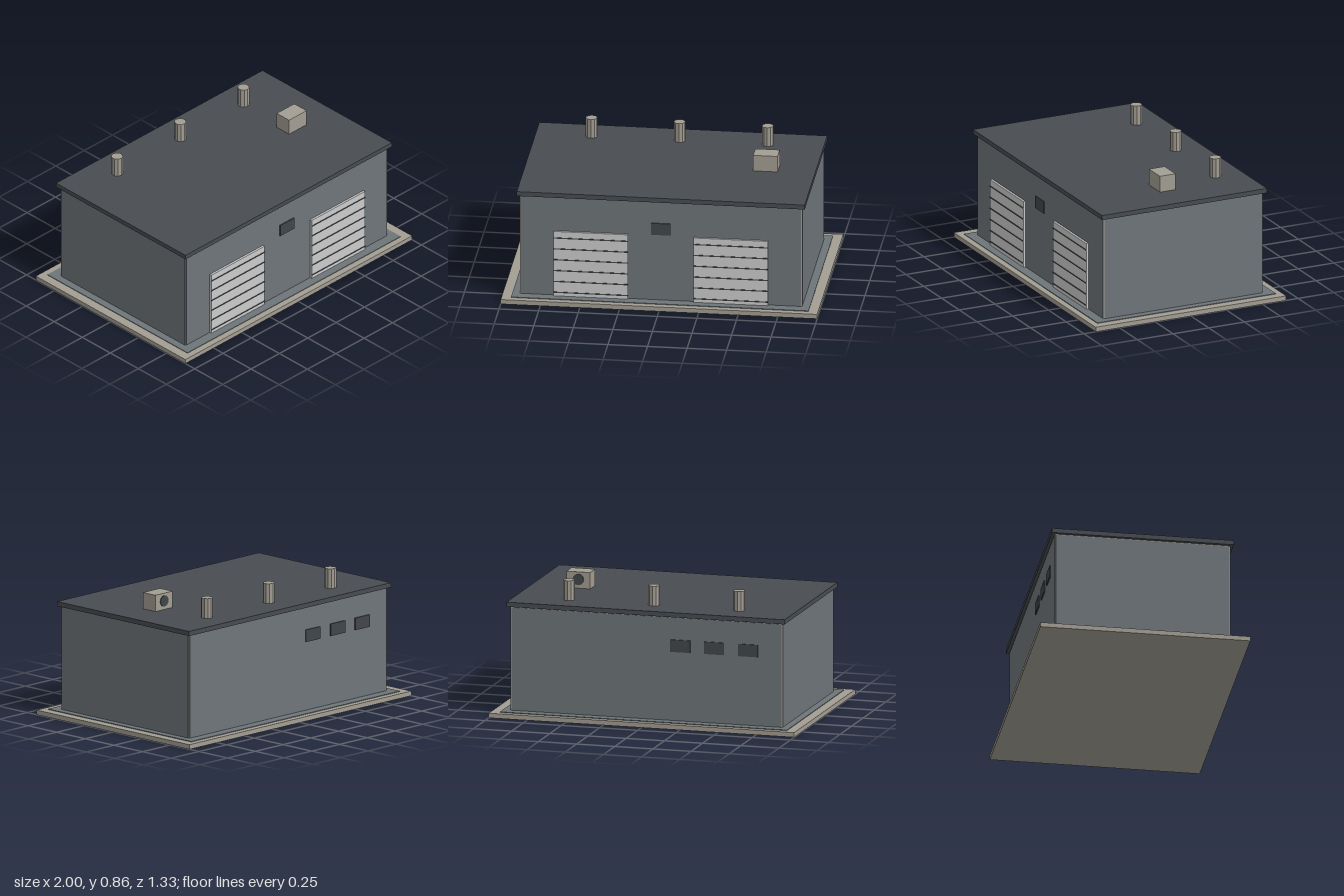
import * as THREE from 'three';

const mat = (name, color) => new THREE.MeshStandardMaterial({ name, color });

export function createModel() {
  const group = new THREE.Group();
  const concrete = mat('concrete', 0xa39e93);
  const cladding = mat('cladding', 0x6e7579);
  const roofing = mat('roofing', 0x484c51);
  const doorPaint = mat('doorPaint', 0xcbcbcb);
  const dark = mat('darkGlass', 0x43474a);

  const add = (name, geometry, material, x, y, z) => {
    const mesh = new THREE.Mesh(geometry, material);
    mesh.name = name;
    mesh.position.set(x, y, z);
    group.add(mesh);
    return mesh;
  };
  // Box given by its centre in x and z and its bottom height
  const box = (name, material, w, h, d, x, y, z) =>
    add(name, new THREE.BoxGeometry(w, h, d), material, x, y + h / 2, z);

  // Ground slab and apron
  box('baseSlab', concrete, 2, 0.03, 1.334, 0, 0, 0);
  box('apron', cladding, 1.88, 0.005, 1.25, 0, 0.029, 0);

  // Body core with cladding panels, leaving a fine pale edge at corners
  box('bodyCore', concrete, 1.778, 0.668, 1.112, 0, 0.032, 0);
  for (const s of [-1, 1]) {
    box('longWallPanel', cladding, 1.768, 0.66, 0.003, 0, 0.034, s * 0.557);
    box('endWallPanel', cladding, 0.003, 0.66, 1.102, s * 0.89, 0.034, 0);
  }

  // Flat overhanging roof
  box('roof', roofing, 1.82, 0.03, 1.155, 0, 0.7, 0);

  // Sectional doors with dark joints
  for (const s of [-1, 1]) {
    const x = s * 0.443;
    box('garageDoor', doorPaint, 0.47, 0.436, 0.016, x, 0.034, 0.565);
    for (let i = 0; i < 6; i++) {
      box('doorJoint', dark, 0.47, 0.007, 0.005, x, 0.055 + i * 0.0735, 0.5735);
    }
  }

  // Small high windows
  box('frontWindow', dark, 0.125, 0.078, 0.008, 0, 0.475, 0.562);
  for (let i = 1; i <= 3; i++) {
    box('rearWindow', dark, 0.13, 0.078, 0.008, -0.222 * i, 0.475, -0.562);
  }

  // Roof vent pipes
  for (const x of [-0.557, 0, 0.557]) {
    const pipe = new THREE.CylinderGeometry(0.037, 0.037, 0.13, 10).toNonIndexed();
    pipe.computeVertexNormals();
    add('ventPipe', pipe, concrete, x, 0.792, -0.39);
  }

  // Rooftop cooling unit with its fan on the rear face
  box('coolingUnit', concrete, 0.155, 0.105, 0.11, 0.597, 0.73, 0);
  const fan = add('coolingFan', new THREE.CylinderGeometry(0.036, 0.036, 0.009, 12), dark, 0.597, 0.786, -0.056);
  fan.rotation.x = Math.PI / 2;

  return group;
}
